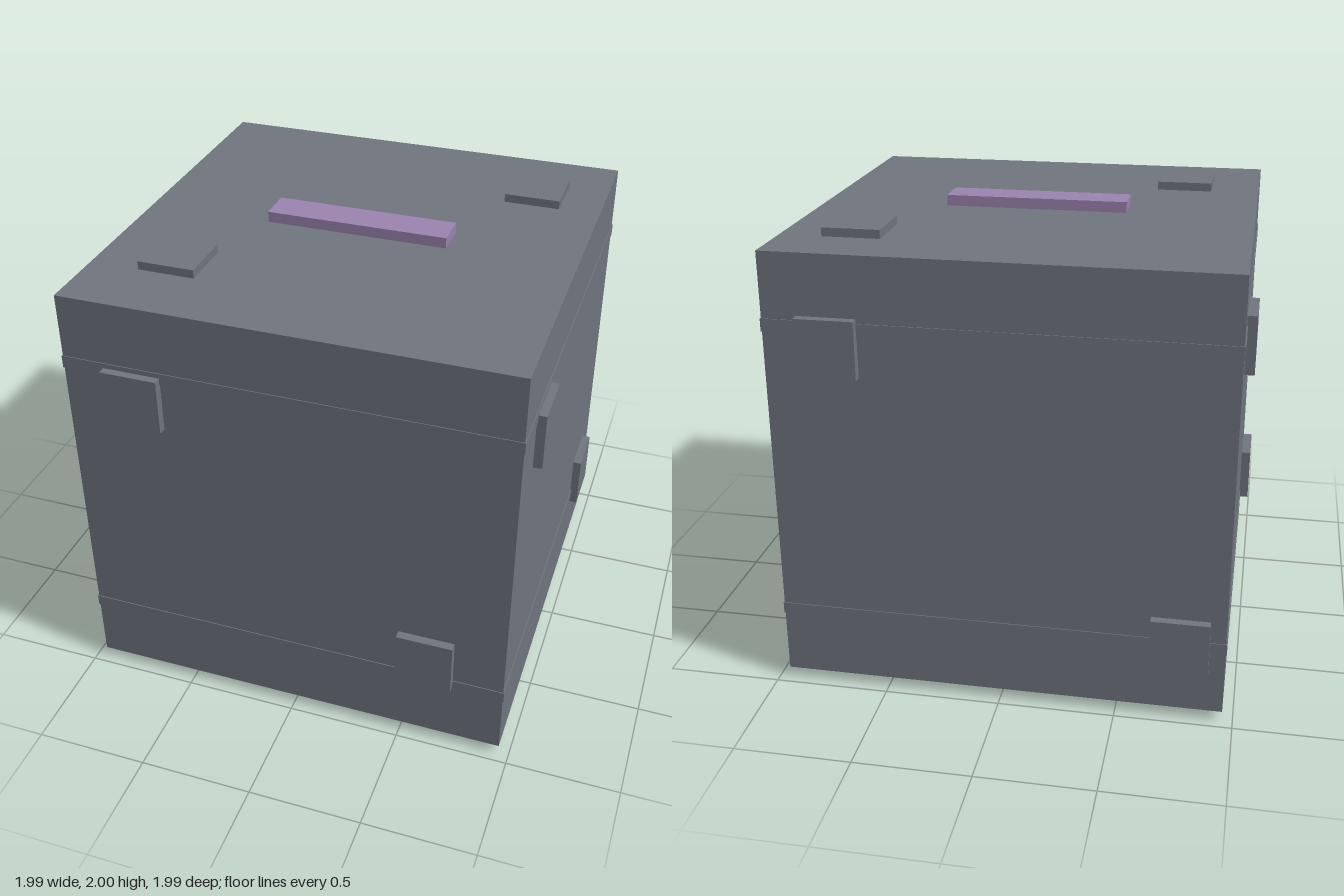
import * as THREE from 'three';

export function createModel() {
  const model = new THREE.Group();
  model.name = 'crate';
  const gray = new THREE.MeshStandardMaterial({ name: 'slate gray', color: 0x70757f });
  const purple = new THREE.MeshStandardMaterial({ name: 'muted purple', color: 0x9c84b0 });

  // Box given by its minimum and maximum corners
  function box(name, min, max, material = gray) {
    const size = max.map((v, i) => v - min[i]);
    const mesh = new THREE.Mesh(new THREE.BoxGeometry(...size), material);
    mesh.position.set(...max.map((v, i) => (v + min[i]) / 2));
    mesh.name = name;
    model.add(mesh);
  }

  // Main cube
  const half = 0.955, bottom = 0.045, top = 1.953;
  box('body', [-half, bottom, -half], [half, top, half]);

  // Thin bands wrapped round the sides
  const rim = 0.959;
  box('upperBand', [-rim, 1.62, -rim], [rim, 1.675, rim]);
  box('lowerBand', [-rim, 0.325, -rim], [rim, 0.375, rim]);

  // Square plates, two on each face: [face name, axis, inner, outer, centres]
  const plates = [
    ['front', 2, 0.95, 0.993, [[-0.65, 1.53, 0], [0.61, 0.465, 0]]],
    ['back', 2, -0.993, -0.95, [[0.685, 1.57, 0], [-0.765, 0.35, 0]]],
    ['left', 0, 0.95, 0.993, [[0, 1.53, 0.61], [0, 0.425, -0.65]]],
    ['right', 0, -0.997, -0.95, [[0, 1.59, -0.575], [0, 0.465, 0.65]]],
    ['top', 1, 1.95, 1.99, [[0.65, 0, -0.575], [-0.615, 0, 0.53]]],
    ['bottom', 1, 0, 0.05, [[0.61, 0, 0.595], [-0.65, 0, -0.535]]],
  ];
  const r = 0.1235;
  for (const [face, axis, inner, outer, centres] of plates) {
    centres.forEach((c, n) => {
      const min = c.map((v, i) => (i === axis ? inner : v - r));
      const max = c.map((v, i) => (i === axis ? outer : v + r));
      box(`${face}Plate${n + 1}`, min, max);
    });
  }

  // Coloured bar on the lid
  box('topBar', [-0.4, 1.95, -0.08], [0.4, 2, 0.075], purple);

  return model;
}
